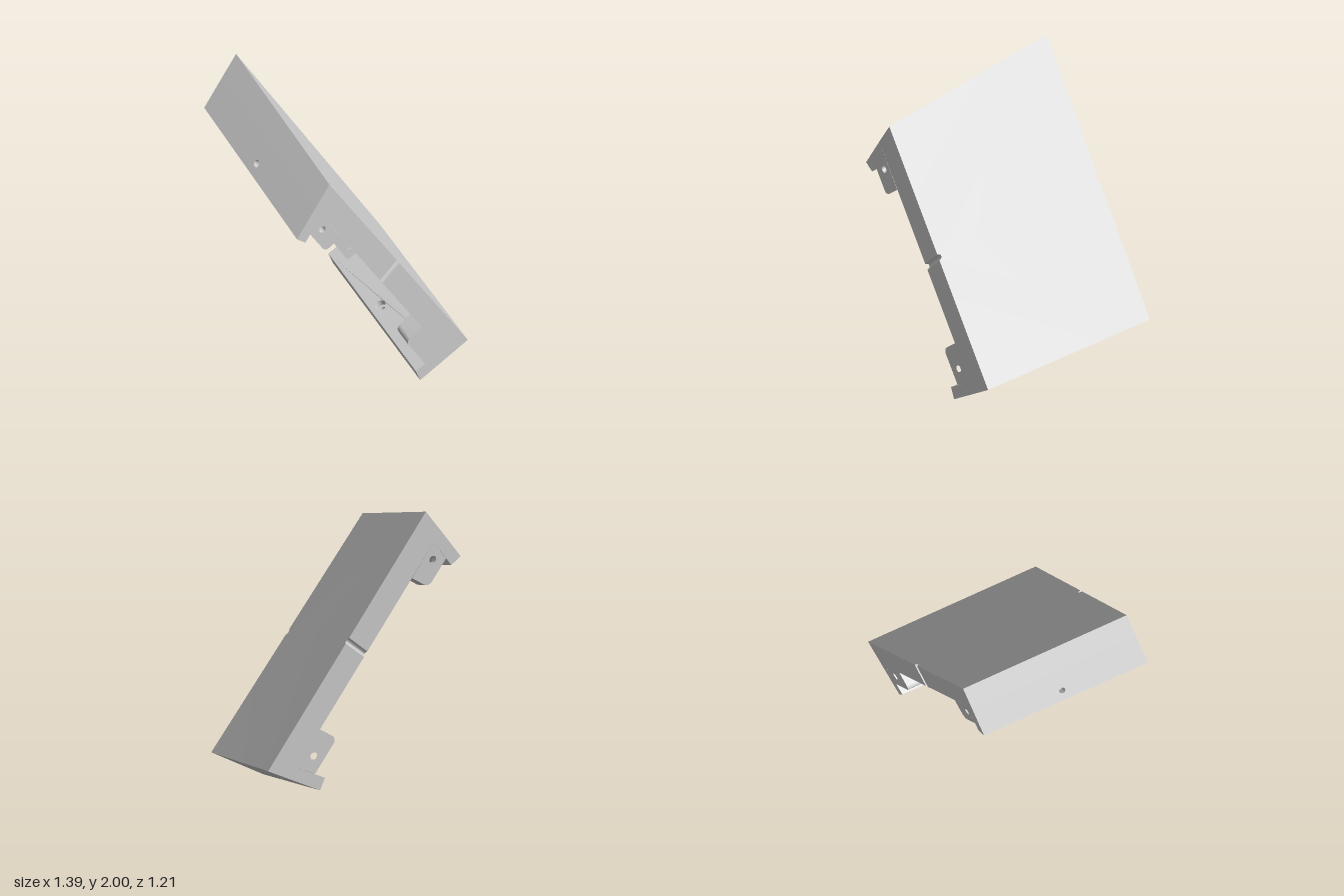
import * as THREE from 'three';
import { toCreasedNormals } from 'three/addons/utils/BufferGeometryUtils.js';

const Z = 0.605; // half depth, front to back
const V = (x, y) => new THREE.Vector2(x, y);

// Front section corners: A, B outer face; D, C rims of the two end walls
const A = V(-0.452, 1.655), B = V(0.587, 0.188), C = V(0.23, 0.003), D = V(-0.695, 1.327);
// Plate underside on the outer end faces, then inner rims and inner roots of the walls
const D1 = V(-0.556, 1.516), C1 = V(0.439, 0.111);
const E = V(-0.632, 1.283), E1 = V(-0.51, 1.45), F = V(0.198, 0.077), F1 = V(0.393, 0.178);

// The section stretches and rises evenly from front to back
function skew(p, z) {
  const k = (Z - z) / (2 * Z);
  const ab = B.clone().sub(A), ad = D.clone().sub(A), q = p.clone().sub(A);
  const det = ab.cross(ad);
  const a = q.cross(ad) / det, b = ab.cross(q) / det;
  const bx = -0.391 + a * 1.084 - b * 0.239;
  const by = 1.999 - a * 1.599 - b * 0.322;
  return [p.x + (bx - p.x) * k, p.y + (by - p.y) * k, z];
}

// Moves every vertex by a rule and keeps the faces turned outward
function warp(geometry, rule) {
  const g = geometry.index ? geometry.toNonIndexed() : geometry;
  const pos = g.attributes.position;
  for (let i = 0; i < pos.count; i++) pos.setXYZ(i, ...rule(pos.getX(i), pos.getY(i), pos.getZ(i)));
  const a = new THREE.Vector3(), b = new THREE.Vector3(), c = new THREE.Vector3();
  let volume = 0;
  for (let i = 0; i < pos.count; i += 3) {
    a.fromBufferAttribute(pos, i);
    b.fromBufferAttribute(pos, i + 1);
    c.fromBufferAttribute(pos, i + 2);
    volume += a.dot(b.cross(c));
  }
  if (volume < 0) {
    for (let i = 0; i < pos.count; i += 3) {
      b.fromBufferAttribute(pos, i + 1);
      c.fromBufferAttribute(pos, i + 2);
      pos.setXYZ(i + 1, c.x, c.y, c.z);
      pos.setXYZ(i + 2, b.x, b.y, b.z);
    }
  }
  g.computeVertexNormals();
  return toCreasedNormals(g, 0.6);
}

// Extrudes a (u, z) shape between v0 and v1 inside a four-cornered section
function slab(shape, v0, v1, p00, p10, p01, p11) {
  const g = new THREE.ExtrudeGeometry(shape, { depth: v1 - v0, bevelEnabled: false, curveSegments: 16 });
  return warp(g, (u, z, w) => {
    const v = v0 + w;
    const p = p00.clone().lerp(p10, u).lerp(p01.clone().lerp(p11, u), v);
    return skew(p, z);
  });
}

export function createModel() {
  const group = new THREE.Group();
  const material = new THREE.MeshStandardMaterial({ color: 0xcccccc });
  const add = (name, geometry) => {
    const mesh = new THREE.Mesh(geometry, material);
    mesh.name = name;
    group.add(mesh);
  };

  // Thick plate with a half-round groove in the middle of each long edge
  const plate = new THREE.Shape();
  const ru = 0.02 / 1.85, rz = 0.022;
  plate.moveTo(0, -Z);
  plate.lineTo(0.497 - ru, -Z);
  plate.absellipse(0.497, -Z, ru, rz, Math.PI, 0, true);
  plate.lineTo(1, -Z);
  plate.lineTo(1, Z);
  plate.lineTo(0.497 + ru, Z);
  plate.absellipse(0.497, Z, ru, rz, 0, Math.PI, true);
  plate.lineTo(0, Z);
  plate.closePath();
  add('plate', slab(plate, 0, 1, A, B, D1, C1));

  // End walls, each with a bolt hole that widens on the inside
  const wall = (r) => {
    const s = new THREE.Shape([V(0, -Z), V(1, -Z), V(1, Z), V(0, Z)]);
    const hole = new THREE.Path();
    hole.absellipse(0.32, 0, r / 0.235, r, 0, Math.PI * 2, true);
    s.holes.push(hole);
    return s;
  };
  for (const [name, ...corners] of [['upperWall', D, D1, E, E1], ['lowerWall', C, C1, F, F1]]) {
    add(name + 'Outer', slab(wall(0.022), 0, 0.5, ...corners));
    add(name + 'Inner', slab(wall(0.04), 0.5, 1, ...corners));
  }

  // Corner tabs: rounded outline, bolt hole with a counterbore facing inward
  const tabs = {
    upperTab: [V(-0.595, 1.331), V(-0.505, 1.204), V(-0.483, 1.172), V(-0.447, 1.193), V(-0.368, 1.246), E1, V(-0.505, 1.341)],
    lowerTab: [V(0.267, 0.114), V(0.146, 0.283), V(0.124, 0.316), V(0.159, 0.339), V(0.241, 0.394), F1, V(0.278, 0.23)],
  };
  const tabShape = ([a, b, q, c, e, root, h], r) => {
    const s = new THREE.Shape();
    s.moveTo(a.x, a.y);
    s.lineTo(b.x, b.y);
    s.quadraticCurveTo(q.x, q.y, c.x, c.y);
    s.lineTo(e.x, e.y);
    s.lineTo(root.x, root.y);
    s.closePath();
    const hole = new THREE.Path();
    hole.absarc(h.x, h.y, r, 0, Math.PI * 2, true);
    s.holes.push(hole);
    return s;
  };
  const layer = 0.07;
  for (const [name, points] of Object.entries(tabs)) {
    for (const [side, sign] of [['Front', 1], ['Back', -1]]) {
      [['Outer', 0.023], ['Inner', 0.046]].forEach(([part, r], i) => {
        const g = new THREE.ExtrudeGeometry(tabShape(points, r), { depth: layer, bevelEnabled: false, curveSegments: 16 });
        add(name + side + part, warp(g, (x, y, z) => skew(V(x, y), sign * (Z - i * layer - z))));
      });
    }
  }
  return group;
}
